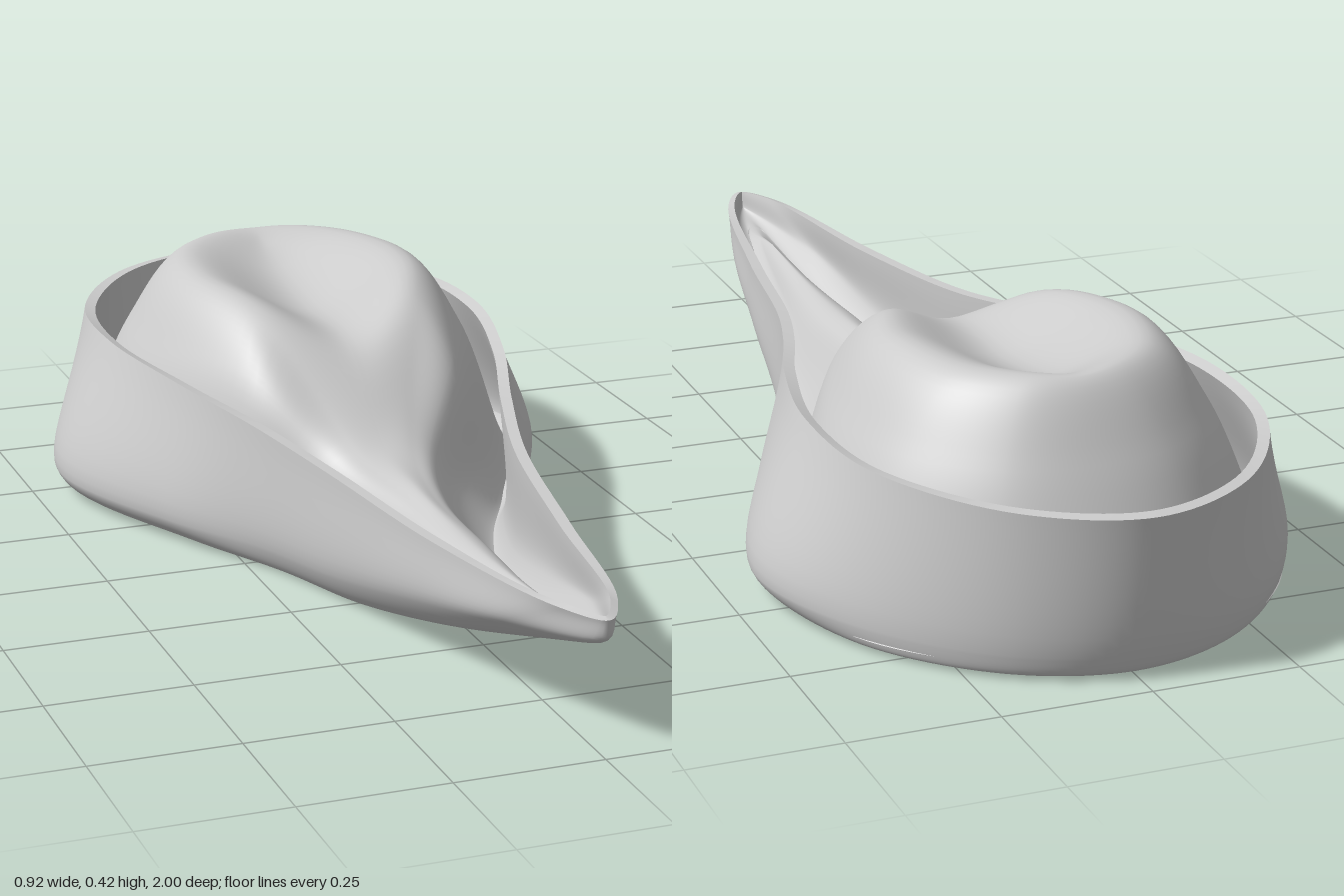
import * as THREE from 'three';

const AROUND = 180, ACROSS = 60, THICK = 0.02;

// Each ring lists [x, y, z] for one half, from the spout tip to the back.
const ridge = [[0, .18, .8], [0, .166, .6], [0, .164, .42], [0, .175, .2], [0, .2, .03], [0, .333, -.15], [0, .342, -.4], [0, .368, -.56], [0, .392, -.63], [0, .405, -.66]];
const shoulder = [[0, .179, .815], [.011, .162, .61], [.018, .159, .43], [.022, .168, .2], [.05, .195, .03], [.145, .383, -.21], [.205, .416, -.42], [.165, .416, -.6], [.08, .415, -.68], [0, .412, -.7]];
const domeSide = [[0, .178, .835], [.022, .152, .62], [.034, .147, .44], [.042, .155, .21], [.09, .18, .025], [.2, .29, -.135], [.305, .29, -.42], [.27, .29, -.62], [.145, .29, -.745], [0, .29, -.775]];
const domeBase = [[0, .176, .865], [.034, .13, .64], [.055, .115, .46], [.075, .1, .23], [.135, .1, .03], [.25, .1, -.12], [.38, .1, -.42], [.345, .1, -.65], [.185, .09, -.82], [0, .09, -.87]];
const foot = [[0, .17, .92], [.045, .1, .68], [.08, .053, .5], [.125, .007, .26], [.19, .004, .07], [.28, .006, -.12], [.412, .01, -.44], [.362, .01, -.69], [.19, .01, -.875], [0, .01, -.935]];
const bulge = [[0, .195, .99], [.08, .155, .77], [.13, .11, .52], [.18, .06, .24], [.245, .052, .04], [.345, .048, -.14], [.457, .048, -.45], [.38, .048, -.69], [.19, .048, -.895], [0, .048, -.957]];
const rim = [[0, .23, 1], [.05, .23, .92], [.122, .225, .57], [.18, .24, .24], [.24, .264, .03], [.31, .286, -.18], [.362, .298, -.44], [.337, .295, -.69], [.19, .292, -.918], [0, .29, -1]];
const rings = [ridge, shoulder, domeSide, domeBase, foot, bulge, rim];

// Closed symmetrical loop through one half-ring and its mirror image
function loop(half) {
  const left = half.map(p => new THREE.Vector3(...p));
  const right = half.slice(1, -1).reverse().map(([x, y, z]) => new THREE.Vector3(-x, y, z));
  return new THREE.CatmullRomCurve3([...left, ...right], true);
}

// Grid of points, closed around; columns run from the centre line outwards
function gridGeometry(columns, flip, centreRow) {
  const n = columns.length, m = columns[0].length;
  const pos = columns.flat().flatMap(p => [p.x, p.y, p.z]);
  const index = [];
  for (let i = 0; i < n; i++) {
    for (let j = 0; j < m - 1; j++) {
      const a = i * m + j, c = ((i + 1) % n) * m + j;
      if (flip) index.push(a, c, a + 1, a + 1, c, c + 1);
      else index.push(a, a + 1, c, a + 1, c + 1, c);
    }
  }
  const geo = new THREE.BufferGeometry();
  geo.setAttribute('position', new THREE.Float32BufferAttribute(pos, 3));
  geo.setIndex(index);
  geo.computeVertexNormals();
  // Shared normals where the two halves meet on the centre line
  if (centreRow) {
    const normal = geo.attributes.normal, v = new THREE.Vector3();
    for (let i = 0; i < n; i++) {
      v.fromBufferAttribute(normal, i * m).setX(0).normalize();
      normal.setXYZ(i * m, v.x, v.y, v.z);
    }
  }
  return geo;
}

export function createModel() {
  const group = new THREE.Group();
  group.name = 'spoutedVessel';
  const material = new THREE.MeshStandardMaterial({ color: 0xcccccc, side: THREE.DoubleSide });

  // Base sheet: splines across the rings, mirrored at the centre line
  const loops = rings.map(loop);
  const sheet = [];
  for (let i = 0; i < AROUND; i++) {
    const half = loops.map(l => l.getPoint(i / AROUND));
    const mirrored = half.slice(1).reverse().map(p => new THREE.Vector3(-p.x, p.y, p.z));
    const across = new THREE.CatmullRomCurve3([...mirrored, ...half]);
    const column = [];
    for (let j = 0; j <= ACROSS; j++) column.push(across.getPoint(0.5 + 0.5 * j / ACROSS));
    sheet.push(column);
  }
  const normals = gridGeometry(sheet, false, true).attributes.normal;

  // Offset the sheet: the dome thickens downwards, the wall inwards
  const offset = upper => sheet.map((column, i) => column.map((p, j) => {
    const wall = THREE.MathUtils.smoothstep(j / ACROSS * (rings.length - 1), 3, 4);
    const thick = THICK * (1 - 0.4 * THREE.MathUtils.smoothstep(p.z, 0.5, 1));
    const n = new THREE.Vector3().fromBufferAttribute(normals, i * (ACROSS + 1) + j);
    return p.clone().addScaledVector(n, thick * (upper ? wall : wall - 1));
  }));
  const upper = offset(true), lower = offset(false);
  const lip = upper.map((column, i) => [column[ACROSS], lower[i][ACROSS]]);

  const add = (name, geo) => {
    const mesh = new THREE.Mesh(geo, material);
    mesh.name = name;
    group.add(mesh);
  };
  add('domeAndTrough', gridGeometry(upper, false, true));
  add('outerWallAndUnderside', gridGeometry(lower, true, true));
  add('rimLip', gridGeometry(lip, false, false));

  // Stand on the ground
  const box = new THREE.Box3().setFromObject(group);
  group.children.forEach(mesh => mesh.geometry.translate(0, -box.min.y, 0));
  return group;
}
